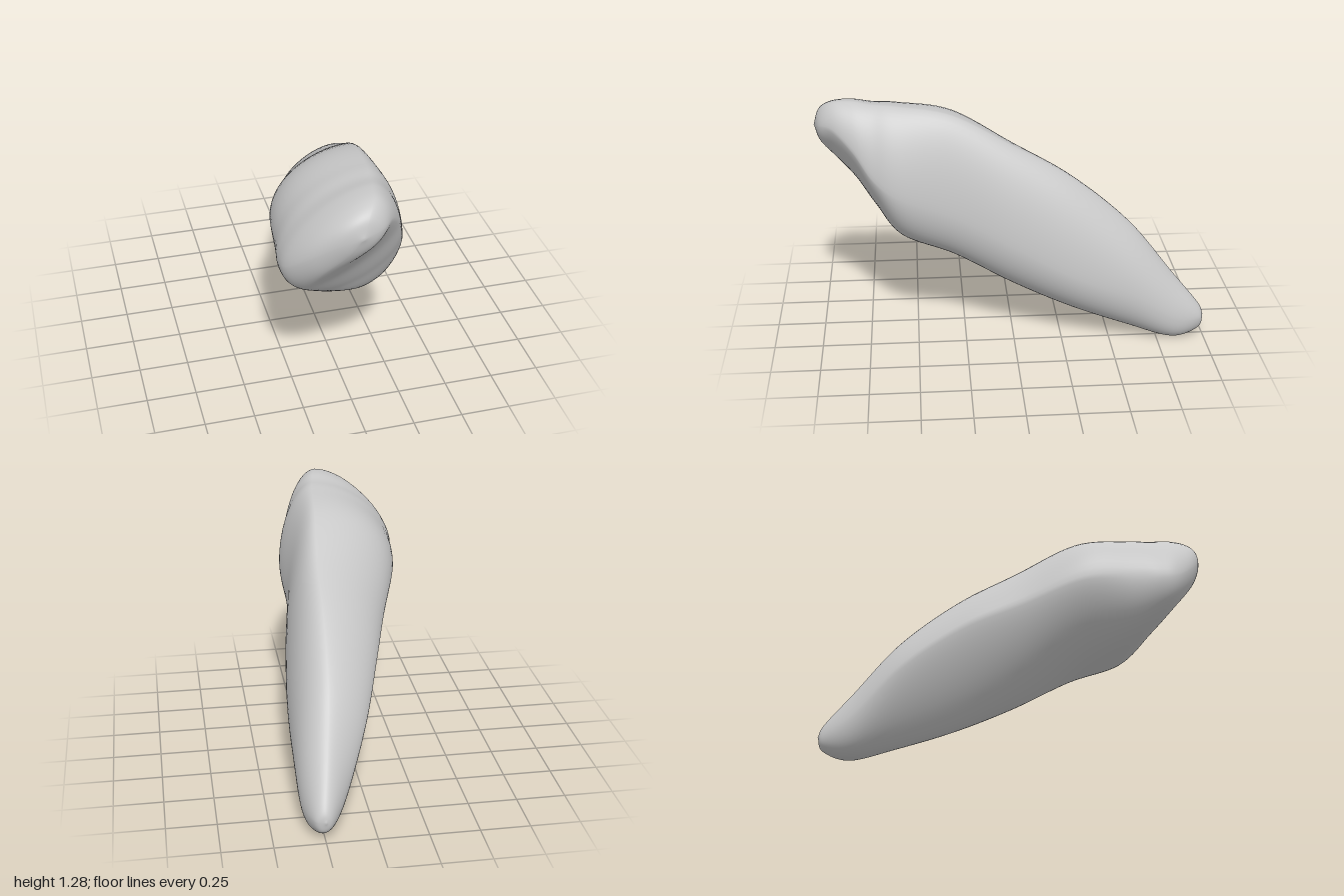
import * as THREE from 'three';
import { mergeVertices } from 'three/addons/utils/BufferGeometryUtils.js';

// Cross-sections from tail to blunt front end:
// z, crest x y, left x y, keel x y, right x y, flatness of upper left, lower left, lower right
const SECTIONS = [
  [-0.97, 0.25, 0.18, 0.205, 0.11, 0.26, 0.04, 0.305, 0.11, 1, 1, 1],
  [-0.83, 0.22, 0.35, 0.12, 0.19, 0.25, 0.001, 0.347, 0.13, 1.15, 1.1, 0.85],
  [-0.6, 0.18, 0.63, -0.01, 0.43, 0.21, 0.06, 0.357, 0.27, 1.25, 1.4, 0.95],
  [-0.3, 0.16, 0.88, -0.115, 0.63, 0.17, 0.16, 0.35, 0.4, 1.25, 1.45, 1],
  [0, 0.15, 1.055, -0.205, 0.75, 0.13, 0.29, 0.32, 0.56, 1.15, 1.4, 1],
  [0.3, 0.12, 1.213, -0.305, 0.87, 0.1, 0.45, 0.277, 0.72, 1.02, 1.3, 1],
  [0.57, 0.1, 1.26, -0.342, 0.89, 0.06, 0.555, 0.285, 0.83, 1.1, 1, 1.05],
  [0.7, 0.08, 1.267, -0.36, 0.89, -0.12, 0.665, 0.25, 0.92, 1.17, 1, 1.25],
  [0.8, 0.06, 1.28, -0.345, 0.91, -0.22, 0.77, 0.2, 1.06, 1.2, 1, 1.4],
  [0.9, 0.04, 1.27, -0.26, 1.0, -0.19, 0.9, 0.135, 1.15, 1.2, 1, 1.35],
  [0.97, 0, 1.22, -0.14, 1.09, -0.09, 1.03, 0.07, 1.15, 1.1, 1, 1.1],
];
const TAIL_TIP = new THREE.Vector3(0.25, 0.11, -1);
const NOSE_TIP = new THREE.Vector3(-0.03, 1.13, 1);
const ROUND = new THREE.Vector3(1, 1, 1);
const STEPS = 96;
const QUARTER = 14;

// Smooth curve through three section columns, closed off by end values
function rail(a, b, c, start, end) {
  const points = SECTIONS.map((s) => new THREE.Vector3(s[a], s[b], s[c]));
  return new THREE.CatmullRomCurve3([start, ...points, end], false, 'catmullrom', 0.5);
}

// Rounded corner between an upright extreme (p) and a sideways extreme (q)
function corner(p, q, angle, e) {
  return [
    p.x + (q.x - p.x) * Math.abs(Math.sin(angle)) ** e,
    q.y + (p.y - q.y) * Math.abs(Math.cos(angle)) ** e,
  ];
}

function bodyGeometry() {
  const rails = [1, 3, 5, 7].map((column) => rail(column, column + 1, 0, TAIL_TIP, NOSE_TIP));
  const flatnessRail = rail(9, 10, 11, ROUND, ROUND);
  const positions = [];
  const index = [];
  const ring = QUARTER * 4;
  for (let i = 0; i <= STEPS; i++) {
    const [crest, left, keel, right] = rails.map((r) => r.getPoint(i / STEPS));
    const flatness = flatnessRail.getPoint(i / STEPS);
    const quarters = [
      [crest, left, flatness.x], [keel, left, flatness.y],
      [keel, right, flatness.z], [crest, right, 1.15],
    ];
    for (let j = 0; j < ring; j++) {
      const [p, q, e] = quarters[Math.floor(j / QUARTER)];
      const [x, y] = corner(p, q, (j / ring) * Math.PI * 2, e);
      positions.push(x, Math.max(y, 0), crest.z);
      if (i < STEPS) {
        const a = i * ring + j;
        const b = i * ring + ((j + 1) % ring);
        index.push(a, b, a + ring, b, b + ring, a + ring);
      }
    }
  }
  let geometry = new THREE.BufferGeometry();
  geometry.setAttribute('position', new THREE.Float32BufferAttribute(positions, 3));
  geometry.setIndex(index);
  geometry = mergeVertices(geometry, 1e-5);
  geometry.computeVertexNormals();
  return geometry;
}

export function createModel() {
  const group = new THREE.Group();
  const grey = new THREE.MeshStandardMaterial({ color: 0xc8c8c8 });
  grey.name = 'pale grey';

  // Single tapering body with a hollowed slanted front
  const body = new THREE.Mesh(bodyGeometry(), grey);
  body.name = 'taperedBody';
  group.add(body);
  return group;
}
